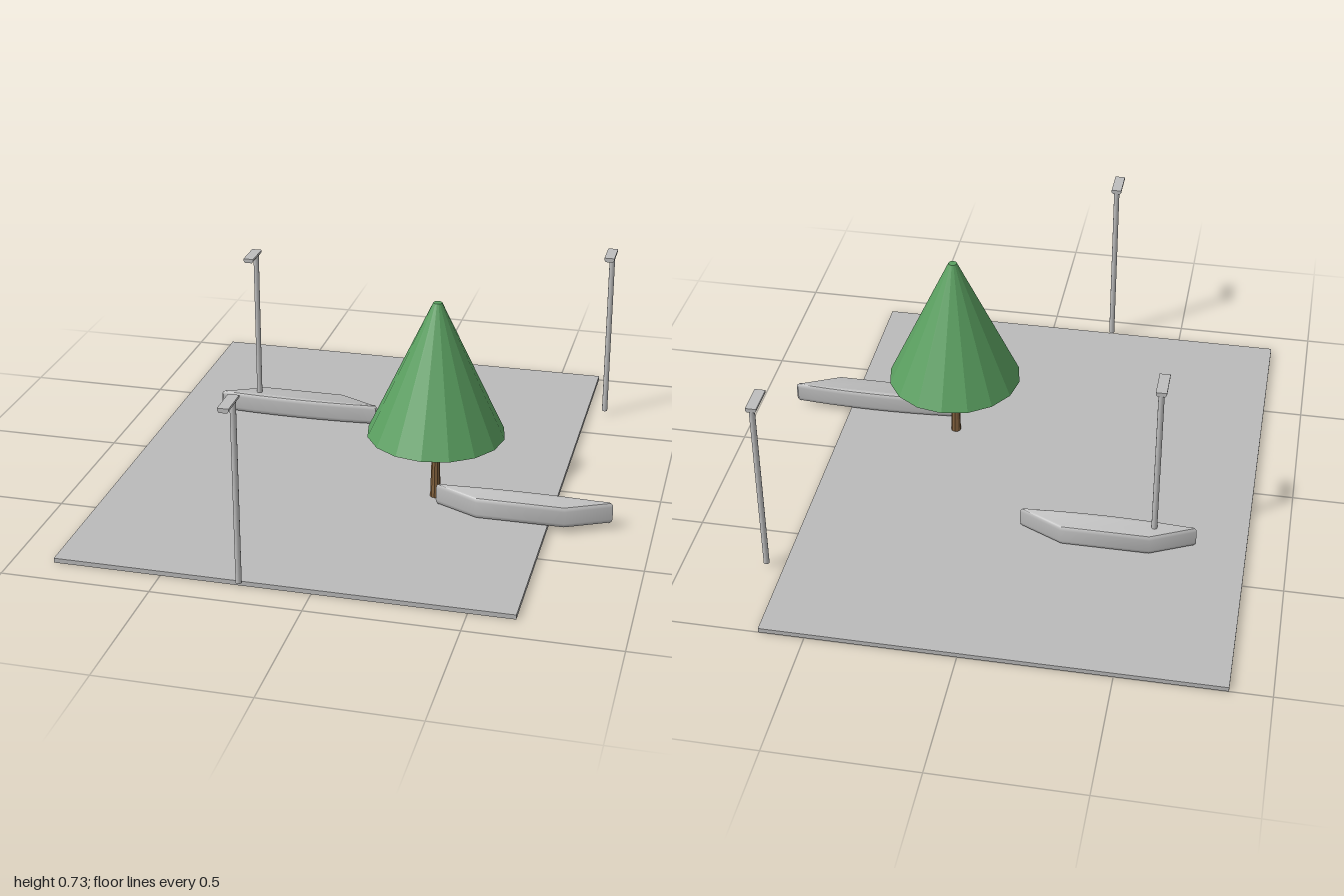
import * as THREE from 'three';
import { toCreasedNormals } from 'three/addons/utils/BufferGeometryUtils.js';

const material = (name, color, extra = {}) => {
  const m = new THREE.MeshStandardMaterial({ color, ...extra });
  m.name = name;
  return m;
};

export function createModel() {
  const paving = material('paving grey', 0xbababa);
  const stone = material('light grey', 0xbebebe);
  const leaf = material('leaf green', 0x5a9f60, { flatShading: true });
  const bark = material('bark brown', 0x84633f, { flatShading: true });

  const model = new THREE.Group();
  model.name = 'plaza';
  const add = (parent, name, geometry, mat, x, y, z) => {
    const mesh = new THREE.Mesh(geometry, mat);
    mesh.name = name;
    mesh.position.set(x, y, z);
    parent.add(mesh);
    return mesh;
  };

  // Ground slab
  add(model, 'ground', new THREE.BoxGeometry(1.515, 0.016, 1.895), paving, -0.105, 0.008, -0.0525);

  // Tree: tapered trunk and a faceted cone of leaves
  const tree = new THREE.Group();
  tree.name = 'tree';
  tree.position.set(0.242, 0, 0.167);
  add(tree, 'trunk', new THREE.CylinderGeometry(0.012, 0.018, 0.26, 10), bark, 0, 0.145, 0);
  add(tree, 'foliage', new THREE.CylinderGeometry(0.015, 0.236, 0.473, 16), leaf, 0, 0.4925, 0);
  model.add(tree);

  // Benches: plan outline with one bowed long side, soft top and bottom edges
  const outline = new THREE.Shape();
  outline.moveTo(-0.302, 0.028);
  outline.lineTo(-0.15, -0.047);
  outline.lineTo(0.15, -0.047);
  outline.lineTo(0.302, 0.028);
  outline.lineTo(0.295, 0.035);
  outline.quadraticCurveTo(0, 0.062, -0.295, 0.035);
  outline.closePath();
  const bevel = 0.016;
  const benchShape = new THREE.ExtrudeGeometry(outline, {
    depth: 0.076 - 2 * bevel, curveSegments: 10,
    bevelEnabled: true, bevelThickness: bevel, bevelSize: 0.01, bevelOffset: -0.01, bevelSegments: 3,
  });
  benchShape.rotateX(Math.PI / 2);
  benchShape.translate(0, 0.096 - bevel, 0);
  const benchGeometry = toCreasedNormals(benchShape, 0.6);
  add(model, 'backBench', benchGeometry, stone, -0.39, 0, -0.373);
  add(model, 'frontBench', benchGeometry, stone, 0.56, 0, 0.263).rotation.y = Math.PI;

  // Lamps: slim pole carrying a flat head that narrows downward
  const headProfile = new THREE.Shape([
    [-0.013, 0.645], [0.013, 0.645], [0.018, 0.652], [0.018, 0.66], [-0.018, 0.66], [-0.018, 0.652],
  ].map(([x, y]) => new THREE.Vector2(x, y)));
  const headGeometry = new THREE.ExtrudeGeometry(headProfile, { depth: 0.108, bevelEnabled: false });
  const poleGeometry = new THREE.CylinderGeometry(0.01, 0.01, 0.635, 12);
  [[-0.55, -0.365], [-0.234, 0.904], [0.716, -0.681]].forEach(([x, z]) => {
    const lamp = new THREE.Group();
    lamp.name = 'lamp';
    lamp.position.set(x, 0, z);
    add(lamp, 'lampPole', poleGeometry, stone, 0, 0.3335, 0);
    add(lamp, 'lampHead', headGeometry, stone, 0, 0, -0.012);
    model.add(lamp);
  });

  return model;
}
